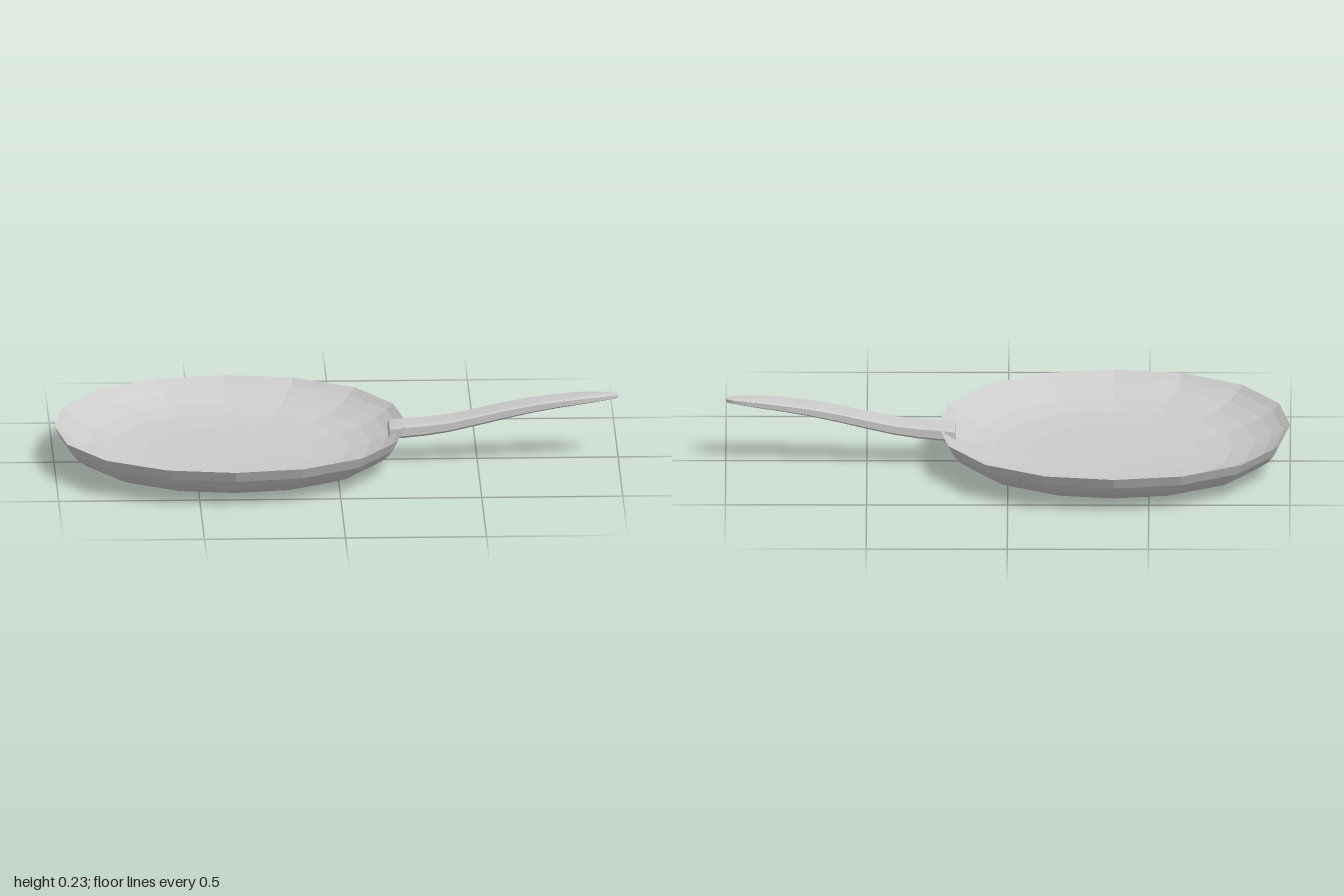
import * as THREE from 'three';
import { toCreasedNormals } from 'three/addons/utils/BufferGeometryUtils.js';

// Lofts a chamfered rectangle through stations [x, bottom, top, half width]
function loft(stations) {
  const pos = [], index = [], n = 8;
  for (const [x, y0, y1, w] of stations) {
    const c = Math.min(w * 0.3, 0.008), e = (y1 - y0) * 0.18;
    const ring = [
      [-w + c, y1], [w - c, y1], [w, y1 - e], [w, y0 + e],
      [w - c, y0], [-w + c, y0], [-w, y0 + e], [-w, y1 - e],
    ];
    for (const [z, y] of ring) pos.push(x, y, z);
  }
  const last = (stations.length - 1) * n;
  for (let i = 0; i < last; i += n) {
    for (let j = 0; j < n; j++) {
      const k = (j + 1) % n;
      index.push(i + j, i + k, i + n + j, i + k, i + n + k, i + n + j);
    }
  }
  // End caps
  for (let j = 1; j < n - 1; j++) {
    index.push(0, j + 1, j, last, last + j, last + j + 1);
  }
  const g = new THREE.BufferGeometry();
  g.setAttribute('position', new THREE.Float32BufferAttribute(pos, 3));
  g.setIndex(index);
  return toCreasedNormals(g, 0.5);
}

// Sixteen-sided dish, slightly fuller on the diagonals
function dish() {
  const outer = [
    [0, 0], [0.2, 0.002], [0.35, 0.007], [0.44, 0.014], [0.5, 0.025],
    [0.545, 0.043], [0.58, 0.067], [0.605, 0.096], [0.625, 0.135],
  ];
  // The hollow is shallower than the outside and meets it at a sharp rim
  const inner = [
    [0.6, 0.114], [0.56, 0.091], [0.5, 0.067], [0.42, 0.049],
    [0.3, 0.039], [0.15, 0.035], [0, 0.034],
  ];
  const profile = [...outer, ...inner].map(([r, y]) => new THREE.Vector2(r, y));
  const g = new THREE.LatheGeometry(profile, 16);
  const p = g.attributes.position;
  for (let i = 0; i < p.count; i++) {
    const x = p.getX(i), z = p.getZ(i);
    const s = 1 + 0.0145 * (1 - Math.cos(4 * Math.atan2(z, x)));
    p.setXYZ(i, x * s, p.getY(i), z * s);
  }
  return g;
}

export function createModel() {
  const group = new THREE.Group();

  const pan = new THREE.Mesh(
    dish(),
    new THREE.MeshStandardMaterial({ color: 0xcccccc, flatShading: true })
  );
  pan.name = 'pan';
  pan.position.x = -0.375;
  group.add(pan);

  // Gently S-curved handle that passes through the rim and tapers to a tip
  const handle = new THREE.Mesh(
    loft([
      [0.185, 0.096, 0.124, 0.048], [0.188, 0.09, 0.13, 0.053],
      [0.196, 0.088, 0.133, 0.055], [0.25, 0.092, 0.138, 0.054],
      [0.32, 0.099, 0.143, 0.053], [0.4, 0.111, 0.152, 0.052],
      [0.5, 0.134, 0.173, 0.052], [0.6, 0.158, 0.195, 0.052],
      [0.7, 0.18, 0.213, 0.052], [0.78, 0.194, 0.223, 0.051],
      [0.86, 0.205, 0.231, 0.046], [0.92, 0.212, 0.234, 0.038],
      [0.97, 0.217, 0.235, 0.025], [0.99, 0.219, 0.235, 0.014],
      [1, 0.221, 0.234, 0.004],
    ]),
    new THREE.MeshStandardMaterial({ color: 0xcccccc })
  );
  handle.name = 'handle';
  group.add(handle);

  return group;
}
